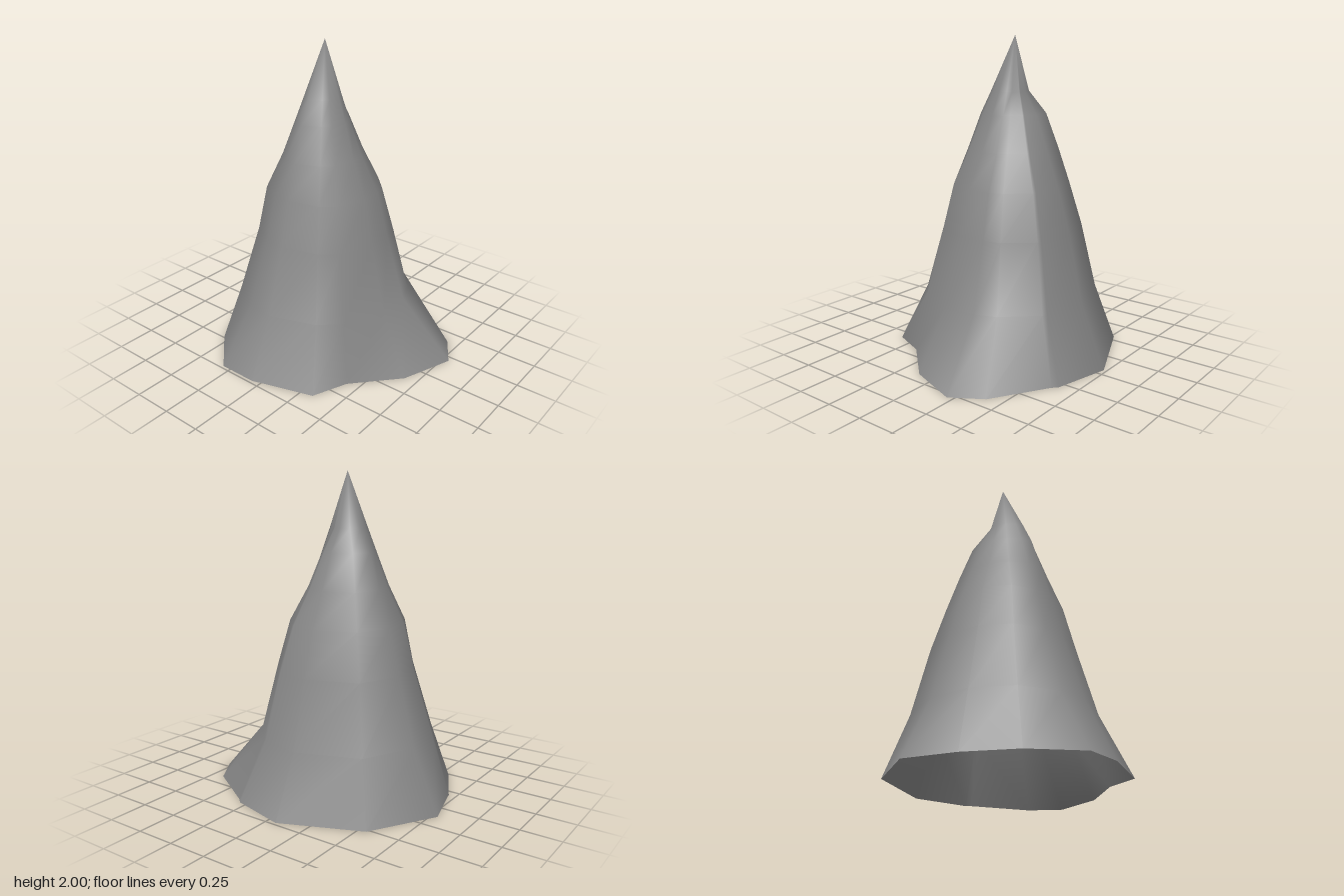
import * as THREE from 'three';

// Foot outline of the rock, as x, z pairs
const FOOT = [
  [0.79, -0.21], [0.67, 0.12], [0.42, 0.39], [0.33, 0.61], [-0.06, 0.73],
  [-0.31, 0.73], [-0.55, 0.49], [-0.70, 0.20], [-0.79, -0.12], [-0.55, -0.52],
  [-0.06, -0.73], [0.30, -0.64], [0.33, -0.61], [0.67, -0.40],
];
const APEX = new THREE.Vector3(-0.08, 2, -0.03);

// Upper cross-sections: height, and radii in these directions (degrees from +x towards +z)
const DIRECTIONS = [0, 35, 90, 145, 180, 215, 270, 325, 360];
const RINGS = [
  { y: 0.38, r: [0.56, 0.57, 0.58, 0.56, 0.53, 0.54, 0.53, 0.55] },
  { y: 0.80, r: [0.425, 0.465, 0.445, 0.43, 0.41, 0.44, 0.43, 0.45] },
  { y: 1.08, r: [0.36, 0.395, 0.37, 0.375, 0.33, 0.355, 0.34, 0.365] },
  { y: 1.30, r: [0.255, 0.29, 0.305, 0.255, 0.245, 0.285, 0.255, 0.24] },
  { y: 1.52, r: [0.18, 0.20, 0.235, 0.165, 0.17, 0.205, 0.17, 0.145] },
  { y: 1.66, r: [0.13, 0.135, 0.17, 0.115, 0.105, 0.09, 0.08, 0.09] },
];

// Radius at any angle, blended between neighbouring directions
function radiusAt(radii, angle) {
  const deg = (THREE.MathUtils.radToDeg(angle) + 360) % 360;
  const i = DIRECTIONS.findIndex((d) => d > deg) - 1;
  const t = (deg - DIRECTIONS[i]) / (DIRECTIONS[i + 1] - DIRECTIONS[i]);
  return THREE.MathUtils.lerp(radii[i], radii[(i + 1) % 8], t);
}

function rockGeometry() {
  const n = FOOT.length;
  const positions = [];
  const indices = [];
  for (const [x, z] of FOOT) positions.push(x, 0, z);
  for (const { y, r } of RINGS) {
    for (const [x, z] of FOOT) {
      const a = Math.atan2(z - APEX.z, x - APEX.x);
      const d = radiusAt(r, a);
      positions.push(APEX.x + d * Math.cos(a), y, APEX.z + d * Math.sin(a));
    }
  }
  positions.push(...APEX);
  const tip = (RINGS.length + 1) * n;
  for (let i = 0; i < n; i++) {
    const k = (i + 1) % n;
    for (let j = 0; j < RINGS.length; j++) {
      const a = j * n + i, b = j * n + k;
      indices.push(a, a + n, b, b, a + n, b + n);
    }
    indices.push(tip - n + i, tip, tip - n + k);
  }
  const geometry = new THREE.BufferGeometry();
  geometry.setAttribute('position', new THREE.Float32BufferAttribute(positions, 3));
  geometry.setIndex(indices);
  geometry.computeVertexNormals();
  return geometry;
}

export function createModel() {
  const group = new THREE.Group();
  group.name = 'rockSpire';
  // Hollow spire, open underneath
  const material = new THREE.MeshStandardMaterial({ color: 0x888888, side: THREE.DoubleSide });
  const spire = new THREE.Mesh(rockGeometry(), material);
  spire.name = 'spire';
  group.add(spire);
  return group;
}
